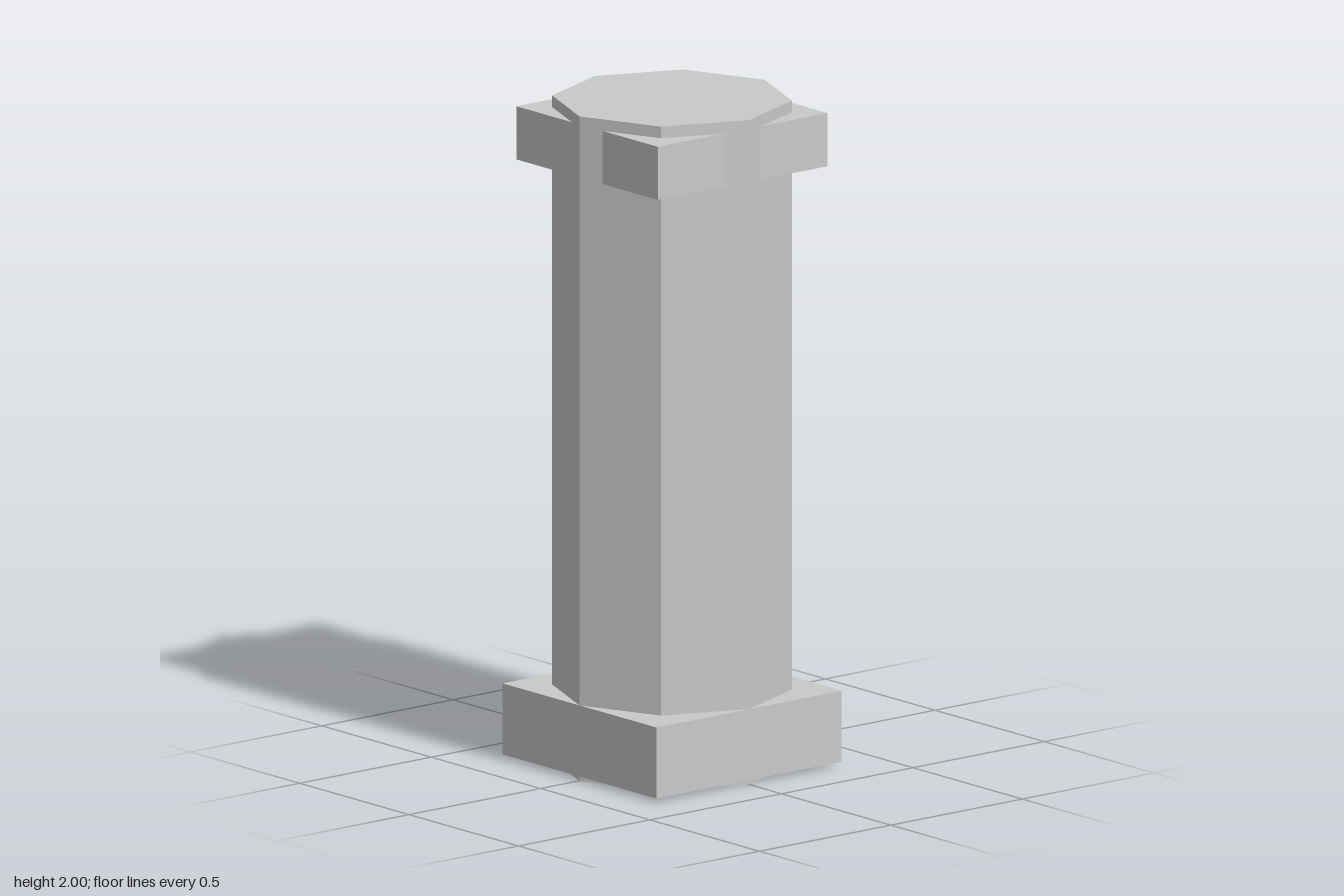
import * as THREE from 'three';

export function createModel() {
  const model = new THREE.Group();
  model.name = 'pillar';
  const stone = new THREE.MeshStandardMaterial({ color: 0xc8cac8, flatShading: true });
  stone.name = 'pale grey stone';

  const add = (name, geometry, y) => {
    const mesh = new THREE.Mesh(geometry, stone);
    mesh.name = name;
    mesh.position.y = y;
    model.add(mesh);
  };

  // Square slab centred on the axis, between two heights
  const addSlab = (name, width, bottom, top) =>
    add(name, new THREE.BoxGeometry(width, top - bottom, width), (bottom + top) / 2);

  // Eight-sided shaft with its corners on the x and z axes
  add('shaft', new THREE.CylinderGeometry(0.352, 0.352, 2, 8), 1);

  // Wide foot and slimmer collar that the shaft passes through
  addSlab('base', 0.704, 0.013, 0.227);
  addSlab('capital', 0.646, 1.805, 1.965);

  return model;
}
